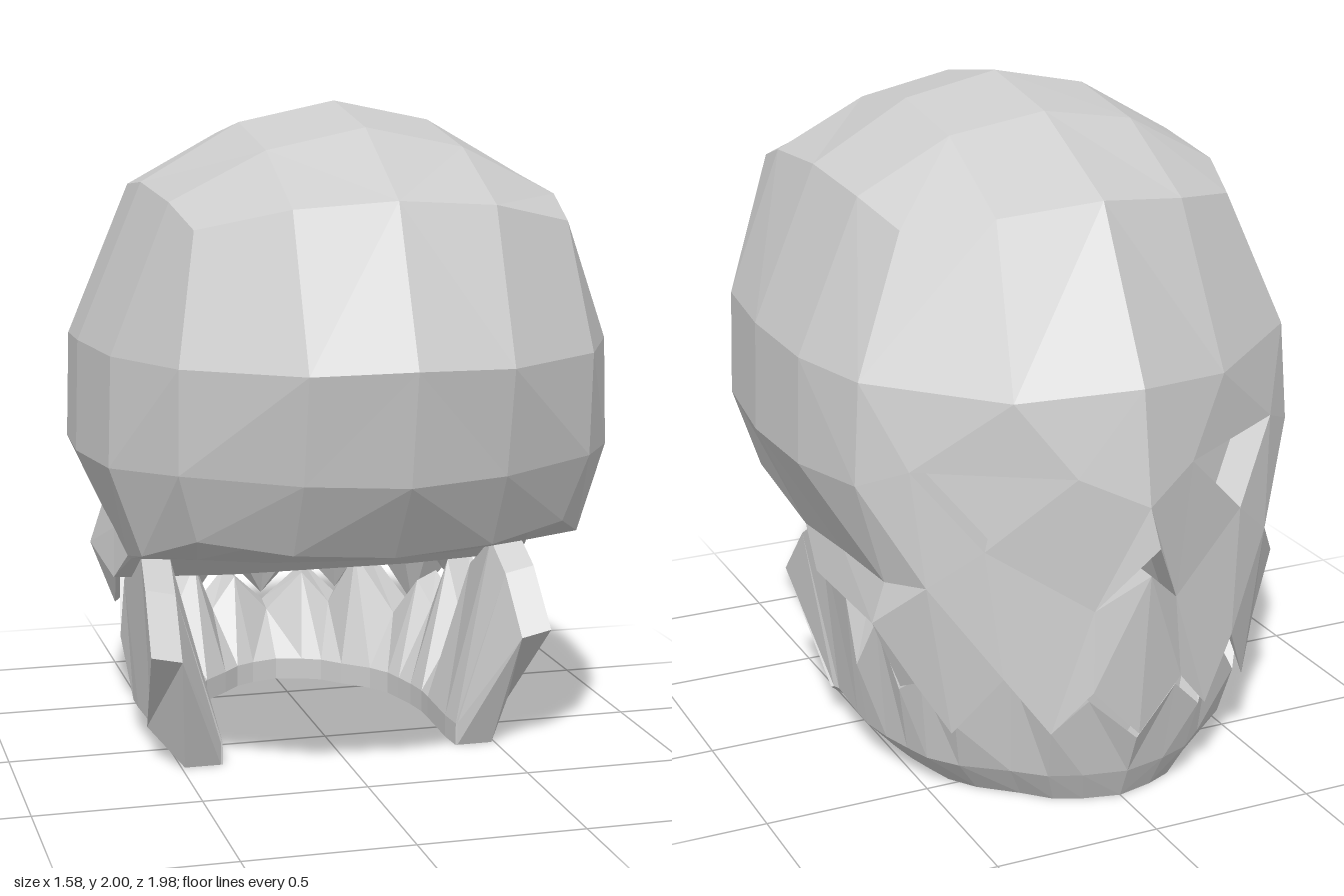
import * as THREE from 'three';

const bone = new THREE.MeshStandardMaterial({ color: 0xcccccc, flatShading: true, side: THREE.DoubleSide });
bone.name = 'bone grey';

// Polygons given for the +x half are fanned into triangles and mirrored to -x.
function mirroredMesh(name, polygons) {
  const pos = [];
  const flip = (p) => [-p[0], p[1], p[2]];
  for (const poly of polygons) {
    for (let i = 1; i < poly.length - 1; i++) {
      const [a, b, c] = [poly[0], poly[i], poly[i + 1]];
      pos.push(...a, ...b, ...c, ...flip(a), ...flip(c), ...flip(b));
    }
  }
  const geo = new THREE.BufferGeometry();
  geo.setAttribute('position', new THREE.Float32BufferAttribute(pos, 3));
  geo.computeVertexNormals();
  const mesh = new THREE.Mesh(geo, bone);
  mesh.name = name;
  return mesh;
}

// Quads between neighbouring cross-sections.
function loft(sections, closed = false) {
  const quads = [];
  for (let i = 0; i < sections.length - 1; i++) {
    const a = sections[i], b = sections[i + 1], n = a.length;
    for (let j = 0; j < (closed ? n : n - 1); j++) {
      const k = (j + 1) % n;
      quads.push([a[j], a[k], b[k], b[j]]);
    }
  }
  return quads;
}

const push = (p, d) => p.map((v, i) => v + d[i]);

// Walls and floor of a hollow sunk into the face.
function hollow(rim, d, openSides = []) {
  const floor = rim.map((p) => push(p, d));
  const polys = [floor];
  rim.forEach((p, i) => {
    const k = (i + 1) % rim.length;
    if (!openSides.includes(i)) polys.push([p, rim[k], floor[k], floor[i]]);
  });
  return polys;
}

// Half cross-sections of the braincase, crown to underside, from back to face
const back = [[0, 1.76, .79], [.29, 1.74, .76], [.54, 1.68, .65], [.6, 1.31, .72], [.6, 1.01, .7],
  [.54, .81, .65], [.415, .795, .705], [.29, .78, .76], [0, .76, .77]];
const rear = [[0, 1.94, .45], [.29, 1.88, .45], [.57, 1.74, .45], [.74, 1.31, .44], [.75, .99, .44],
  [.66, .73, .45], [.5, .71, .45], [.29, .69, .46], [0, .68, .46]];
const middle = [[0, 2, .1], [.29, 1.94, .1], [.585, 1.77, .1], [.78, 1.31, .1], [.79, .98, .1],
  [.64, .65, .1], [.63, .64, .1], [.29, .65, .1], [0, .64, .1]];
const fore = [[0, 1.94, -.24], [.29, 1.89, -.22], [.57, 1.74, -.21], [.76, 1.29, -.21], [.77, .97, -.21],
  [.63, .67, -.2], [.66, .55, -.04], [.29, .53, -.06], [0, .53, -.06]];
const front = [[0, 1.76, -.62], [.29, 1.72, -.54], [.52, 1.68, -.4], [.68, 1.28, -.47], [.7, .98, -.48],
  [.62, .68, -.49], [.66, .56, -.49], [.29, .47, -.5], [0, .46, -.5]];

function braincase() {
  const polys = loft([back, rear, middle, fore, front]);
  const rows = [
    back.slice(0, 3),
    [[0, 1.32, .99], [.29, 1.31, .94], back[3]],
    [[0, .99, .93], [.29, 1, .88], back[4]],
    [back[8], back[7], back[5]],
  ];
  for (let i = 0; i < 3; i++) {
    for (let j = 0; j < 2; j++) polys.push([rows[i][j], rows[i + 1][j], rows[i + 1][j + 1], rows[i][j + 1]]);
  }
  return mirroredMesh('braincase', polys);
}

function faceParts() {
  const [t0, t1, t2, s1, s2, s3, s4, , palate] = front;
  const brow = [0, 1.29, -.88], browSide = [.33, 1.25, -.74];
  const bridge = [0, .96, -.93], noseTip = [0, .86, -.99];
  const nostril = [.13, .64, -.85], noseBase = [0, .76, -.94];
  const eyeIn = [.18, 1.04, -.84], eyeOut = [.58, 1.04, -.59], eyeLow = [.41, .82, -.72];
  const cheek = [.55, .7, -.63];
  // Zigzag edge of the upper teeth, centre to side
  const t = [[0, .25, -.885], [.14, .4, -.87], [.25, .27, -.82], [.37, .44, -.76],
    [.48, .24, -.64], [.56, .38, -.56], [.58, .35, -.5], [.6, .49, -.36]];
  const face = [
    [t0, t1, browSide, brow], [t1, t2, s1, browSide],
    [brow, browSide, eyeIn, bridge], [browSide, s1, eyeOut], [browSide, eyeOut, eyeIn], [s1, s2, eyeOut],
    [eyeOut, s2, cheek], [s2, s3, cheek], [eyeOut, cheek, eyeLow],
    [eyeIn, eyeLow, nostril], [bridge, eyeIn, nostril, noseTip],
    [eyeLow, cheek, t[3]], [eyeLow, t[3], nostril],
    [noseBase, nostril, t[1], t[0]], [nostril, t[2], t[1]], [nostril, t[3], t[2]],
    [cheek, s3, s4], [cheek, s4, t[5]], [cheek, t[5], t[4]], [cheek, t[4], t[3]],
    [s4, t[6], t[5]], [s4, t[7], t[6]],
  ];
  // Inner side of the upper teeth and the palate
  const inner = t.map(([x, , z]) => [x * .88, .47, z * .9]);
  const mouth = loft([t, inner]);
  for (let i = 0; i < 7; i++) mouth.push([palate, inner[i + 1], inner[i]]);
  mouth.push([palate, front[7], s4, t[7], inner[7]]);
  return [
    mirroredMesh('face', face),
    mirroredMesh('upperTeethInside', mouth),
    mirroredMesh('eyeSockets', hollow([eyeIn, eyeOut, eyeLow], [-.05, 0, .09])),
    mirroredMesh('noseHollow', hollow([noseTip, nostril, noseBase], [0, 0, .1], [2])),
  ];
}

function lowerJaw() {
  // Upper edge with teeth, from the rear branch round to the chin
  const top = [[.62, .4, .36], [.61, .57, .22], [.6, .65, .1], [.61, .52, -.14], [.61, .31, -.23],
    [.59, .49, -.34], [.56, .31, -.44], [.53, .38, -.53], [.46, .25, -.62], [.33, .44, -.72],
    [.24, .26, -.8], [.14, .36, -.84], [0, .23, -.87]];
  const sections = top.map(([x, y, z], i) => {
    const rearEnd = i < 2;
    const midZ = rearEnd ? .07 : Math.min(z, .05);
    const lowZ = rearEnd ? .19 : z;
    const s = (v, f) => (v < 0 ? v * f : v);
    return [
      [x, y, z],
      [x * .94, .1, s(midZ, .94)],
      [x * .79, 0, s(lowZ, .89)],
      [x * .61, 0, s(lowZ, .76)],
      [x * .61, .07, s(lowZ, .76)],
      [x * .85, y - .02, s(z, .92)],
    ];
  });
  return mirroredMesh('lowerJaw', [...loft(sections, true), [...sections[0]].reverse()]);
}

export function createModel() {
  const skull = new THREE.Group();
  skull.name = 'skull';
  skull.add(braincase(), ...faceParts(), lowerJaw());
  return skull;
}
